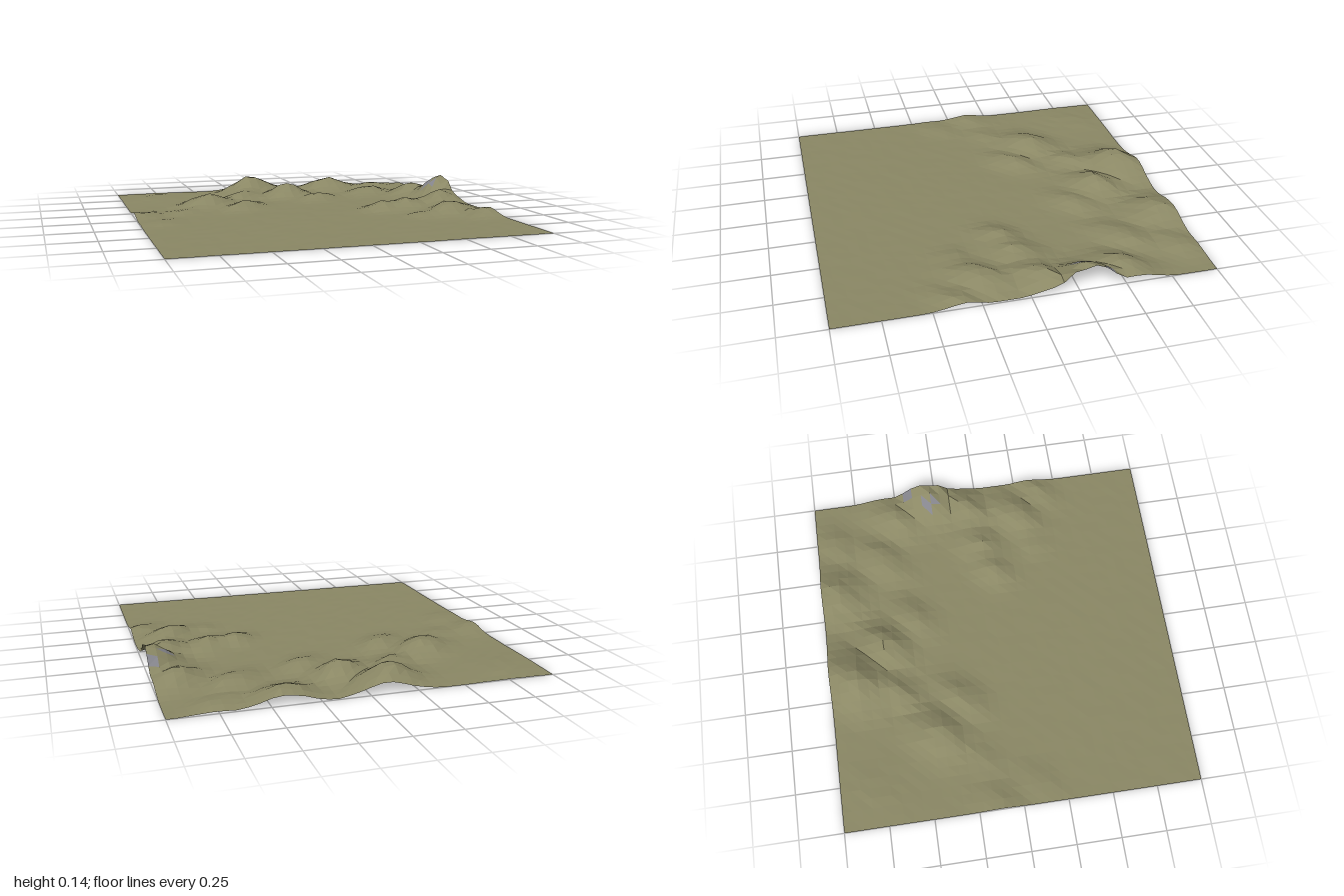
import * as THREE from 'three';

const SEGMENTS = 36;

// Hills: x, z, height, half-length along the diagonal ridge, half-width across it
const HILLS = [
  [-0.52, -0.42, 0.073, 0.17, 0.12],
  [-0.33, -0.26, 0.042, 0.15, 0.09],
  [-0.13, -0.87, 0.108, 0.20, 0.14],
  [-0.24, -0.63, 0.05, 0.16, 0.09],
  [0.05, -0.66, 0.078, 0.15, 0.11],
  [0.2, -0.48, 0.036, 0.15, 0.09],
  [0.42, -0.92, 0.072, 0.17, 0.14],
  [0.6, -0.62, 0.045, 0.16, 0.10],
  [0.72, -0.88, 0.03, 0.15, 0.1],
  [1.0, -0.31, 0.145, 0.18, 0.15],
  [0.88, -0.52, 0.07, 0.17, 0.11],
  [0.88, -0.08, 0.078, 0.18, 0.12],
  [0.62, -0.02, 0.055, 0.16, 0.11],
  [0.45, 0.03, 0.05, 0.12, 0.09],
  [0.8, 0.21, 0.062, 0.18, 0.11],
  [0.95, 0.36, 0.038, 0.14, 0.09],
  [0.6, 0.3, 0.022, 0.1, 0.08],
  [-0.97, -0.13, 0.025, 0.14, 0.1],
  [-0.88, 0.1, 0.015, 0.13, 0.08],
  [-0.7, -0.2, 0.018, 0.14, 0.09],
  [-0.8, -0.8, 0.01, 0.2, 0.15],
];

// Repeatable value in 0..1 for a grid point
function hash(x, z) {
  const s = Math.sin(x * 127.1 + z * 311.7) * 43758.5453;
  return s - Math.floor(s);
}

function terrainHeight(x, z) {
  const u = (x - z) * Math.SQRT1_2;
  const v = (x + z) * Math.SQRT1_2;
  let sum = 0;
  for (const [hx, hz, h, length, width] of HILLS) {
    const du = (u - (hx - hz) * Math.SQRT1_2) / length;
    const dv = (v - (hx + hz) * Math.SQRT1_2) / width;
    const bump = h * Math.max(0, Math.exp(-du * du - dv * dv) - 0.02);
    sum += bump ** 4;
  }
  const hills = sum ** 0.25;
  const rough = hash(Math.round(x * 40), Math.round(z * 40));
  return hills * (0.9 + 0.18 * rough) + 0.0015 * rough;
}

// Bare rock patches on either flank of the highest peak
function isRock(x, z) {
  return Math.hypot(x - 0.89, (z + 0.29) * 0.7) < 0.036 ||
    Math.hypot(x - 0.98, z + 0.42) < 0.03;
}

function surface(name, positions, color) {
  const geometry = new THREE.BufferGeometry();
  geometry.setAttribute('position', new THREE.Float32BufferAttribute(positions, 3));
  geometry.computeVertexNormals();
  const material = new THREE.MeshStandardMaterial({ color, flatShading: true, side: THREE.DoubleSide });
  const mesh = new THREE.Mesh(geometry, material);
  mesh.name = name;
  return mesh;
}

export function createModel() {
  const group = new THREE.Group();
  group.name = 'terrain';

  // Square sheet raised into hills
  const plane = new THREE.PlaneGeometry(2, 2, SEGMENTS, SEGMENTS).rotateX(-Math.PI / 2);
  const points = plane.attributes.position;
  for (let i = 0; i < points.count; i++) {
    const x = points.getX(i), z = points.getZ(i);
    points.setY(i, Math.min(0.145, terrainHeight(x, z)));
  }

  // Sort the facets into grass and rock
  const facets = plane.toNonIndexed().attributes.position.array;
  const grass = [], rock = [];
  for (let i = 0; i < facets.length; i += 9) {
    const cx = (facets[i] + facets[i + 3] + facets[i + 6]) / 3;
    const cz = (facets[i + 2] + facets[i + 5] + facets[i + 8]) / 3;
    (isRock(cx, cz) ? rock : grass).push(...facets.slice(i, i + 9));
  }
  group.add(surface('grassland', grass, 0x8b8865));
  group.add(surface('rockFaces', rock, 0x85858c));
  return group;
}
